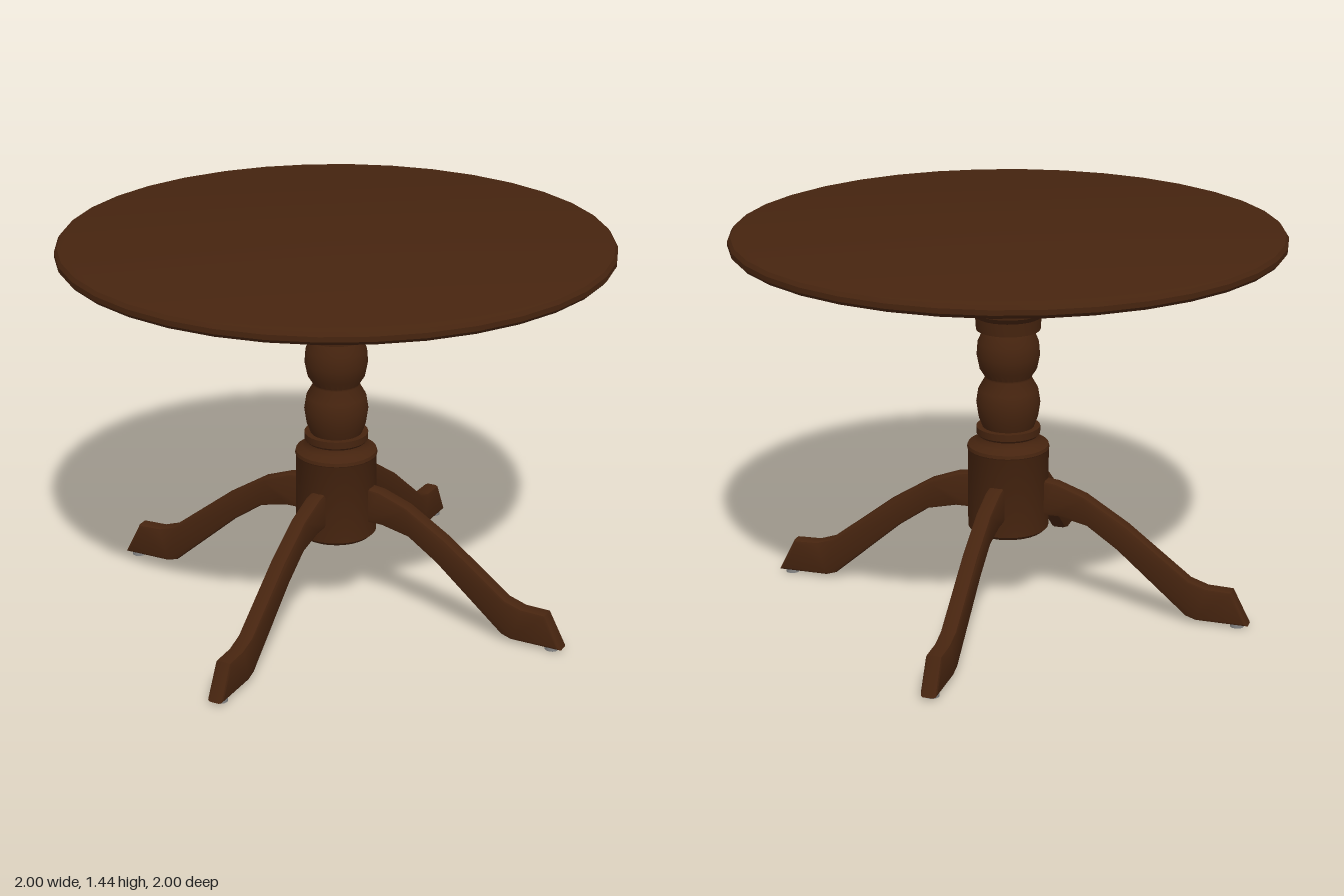
import * as THREE from 'three';
import { toCreasedNormals } from 'three/addons/utils/BufferGeometryUtils.js';

export function createModel() {
  const wood = new THREE.MeshStandardMaterial({ color: 0x46240f });
  wood.name = 'dark wood';
  const metal = new THREE.MeshStandardMaterial({ color: 0x858585 });
  metal.name = 'grey metal';

  const table = new THREE.Group();
  table.name = 'pedestalTable';

  const add = (parent, name, geometry, material) => {
    const mesh = new THREE.Mesh(geometry, material);
    mesh.name = name;
    parent.add(mesh);
    return mesh;
  };
  // Turned part from [radius, height] pairs, bottom to top
  const turned = (name, profile, sides) => add(table, name, toCreasedNormals(
    new THREE.LatheGeometry(profile.map(([r, y]) => new THREE.Vector2(r, y)), sides), 0.6), wood);

  // Round top with a softened rim, and its mounting plate
  turned('tableTop', [[0, 1.38], [0.965, 1.38], [0.99, 1.388], [1, 1.4], [1, 1.418],
    [0.99, 1.432], [0.965, 1.44], [0, 1.44]], 36);
  turned('mountingPlate', [[0, 1.35], [0.307, 1.35], [0.307, 1.382], [0, 1.382]], 32);

  // Column: leg block, two beads, and the capital above a fine gap
  turned('columnBase', [[0, 0.288], [0.135, 0.288], [0.15, 0.302], [0.15, 0.605],
    [0.153, 0.61], [0.15, 0.622], [0.125, 0.637], [0.113, 0.65], [0.111, 0.658],
    [0.118, 0.666], [0.118, 0.692], [0, 0.692]], 28);
  turned('columnBeads', [[0, 0.685], [0.095, 0.69], [0.11, 0.73], [0.118, 0.785],
    [0.11, 0.835], [0.086, 0.877], [0.086, 0.884], [0.106, 0.915], [0.116, 0.965],
    [0.112, 1.015], [0.095, 1.054], [0, 1.056]], 28);
  turned('columnCapital', [[0, 1.063], [0.118, 1.063], [0.121, 1.112], [0.133, 1.12],
    [0.147, 1.135], [0.147, 1.145], [0.15, 1.15], [0.15, 1.17], [0.154, 1.18],
    [0.157, 1.34], [0.148, 1.352], [0, 1.352]], 28);

  // Leg side outline: x runs outward from the column
  const outline = [[0.12, 0.36], [0.2, 0.36], [0.31, 0.335], [0.425, 0.255], [0.69, 0.025],
    [0.73, 0.012], [0.925, 0.012], [0.86, 0.14], [0.765, 0.143], [0.7, 0.165], [0.46, 0.35],
    [0.3, 0.45], [0.19, 0.49], [0.12, 0.498]];
  const bevel = 0.012;
  const legGeometry = toCreasedNormals(new THREE.ExtrudeGeometry(
    new THREE.Shape(outline.map(([x, y]) => new THREE.Vector2(x, y))), {
      depth: 0.06 - 2 * bevel, bevelEnabled: true, bevelThickness: bevel,
      bevelSize: bevel, bevelOffset: -bevel, bevelSegments: 2,
    }).translate(0, 0, bevel - 0.03), 0.7);
  const glideGeometry = new THREE.CylinderGeometry(0.026, 0.026, 0.016, 12);
  const screwGeometry = new THREE.CylinderGeometry(0.024, 0.016, 0.016, 10);

  // Four legs, each with a foot glide and a plate screw in line with it
  for (let i = 0; i < 4; i++) {
    const quarter = new THREE.Group();
    quarter.name = 'legAssembly';
    quarter.rotation.y = -0.3 * Math.PI + i * Math.PI / 2;
    add(quarter, 'leg', legGeometry, wood);
    add(quarter, 'footGlide', glideGeometry, metal).position.set(0.88, 0.008, 0);
    add(quarter, 'plateScrew', screwGeometry, metal).position.set(0.24, 1.343, 0);
    table.add(quarter);
  }
  return table;
}
